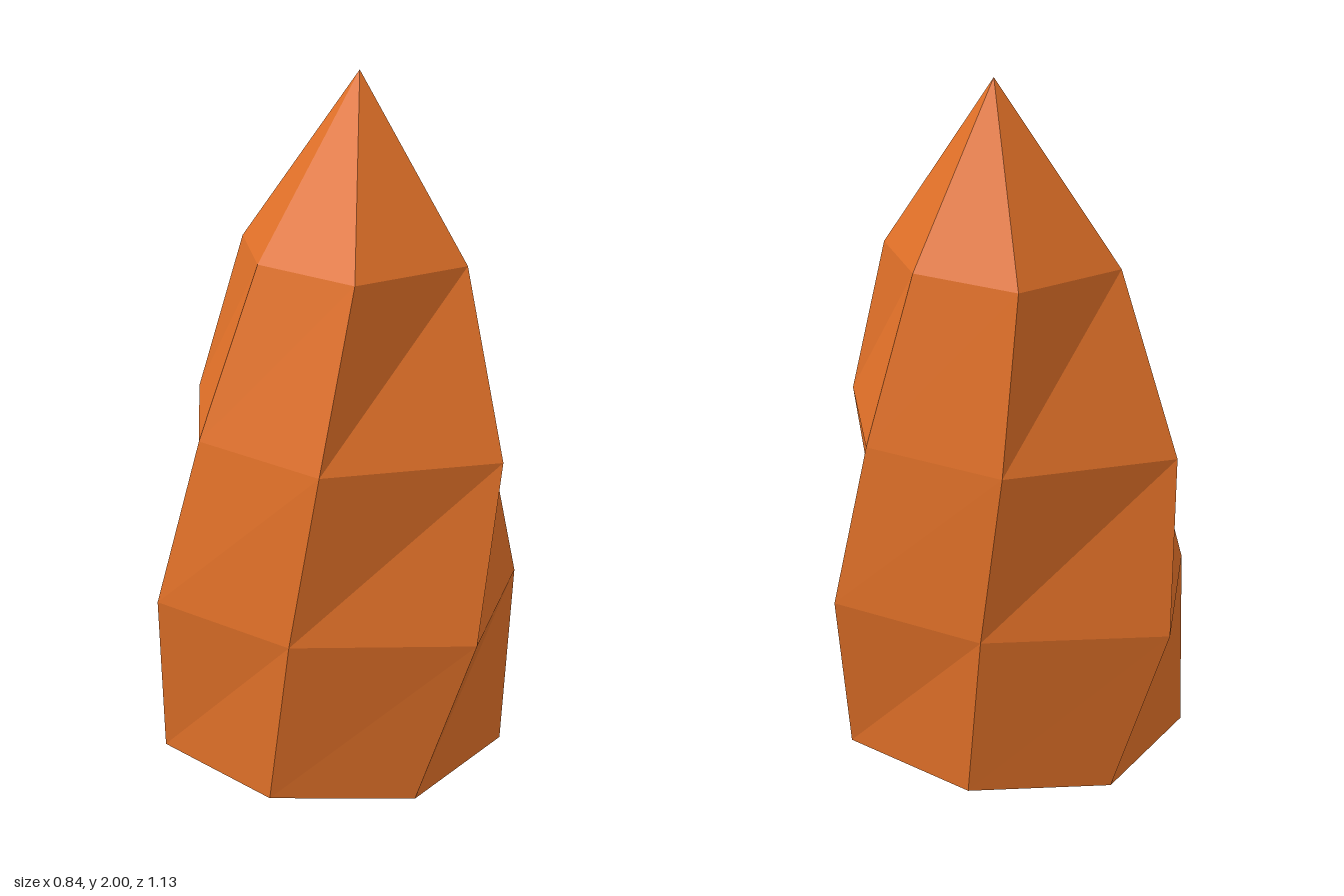
import * as THREE from 'three';

// Six twisting edges of the crystal, each as [x, z] at the four ring heights
const HEIGHTS = [0, 0.5, 1, 1.5];
const EDGES = [
  [[-0.15, 0.405], [-0.09, 0.565], [0.03, 0.555], [0.12, 0.362]],
  [[0.31, 0.38], [0.418, 0.345], [0.408, 0.225], [0.337, 0.108]],
  [[0.37, -0.08], [0.406, -0.15], [0.405, -0.222], [0.335, -0.228]],
  [[0.12, -0.405], [0.083, -0.565], [0.018, -0.538], [-0.003, -0.34]],
  [[-0.345, -0.375], [-0.416, -0.325], [-0.355, -0.207], [-0.223, -0.097]],
  [[-0.405, 0.08], [-0.421, 0.168], [-0.376, 0.24], [-0.23, 0.245]],
];
const APEX = [0.097, 2, 0.005];

function facetGeometry(triangles) {
  const geometry = new THREE.BufferGeometry();
  geometry.setAttribute('position', new THREE.Float32BufferAttribute(triangles.flat(2), 3));
  geometry.computeVertexNormals(); // unshared corners give flat facets
  return geometry;
}

export function createModel() {
  const group = new THREE.Group();
  group.name = 'crystal';
  const orange = new THREE.MeshStandardMaterial({ color: 0xe07028 });
  orange.name = 'orange';

  const count = EDGES.length;
  const top = HEIGHTS.length - 1;
  const point = (edge, ring) => {
    const [x, z] = EDGES[edge % count][ring];
    return [x, HEIGHTS[ring], z];
  };

  const sides = [], tip = [], base = [];
  for (let i = 0; i < count; i++) {
    for (let r = 0; r < top; r++) {
      const a = point(i, r), b = point(i + 1, r);
      const c = point(i + 1, r + 1), d = point(i, r + 1);
      sides.push([a, b, c], [a, c, d]);
    }
    tip.push([point(i, top), point(i + 1, top), APEX]);
    if (i > 0 && i < count - 1) base.push([point(0, 0), point(i + 1, 0), point(i, 0)]);
  }

  // Faceted body, pointed tip and flat underside
  const parts = { crystalBody: sides, crystalTip: tip, crystalBase: base };
  for (const [name, triangles] of Object.entries(parts)) {
    const mesh = new THREE.Mesh(facetGeometry(triangles), orange);
    mesh.name = name;
    group.add(mesh);
  }
  return group;
}
